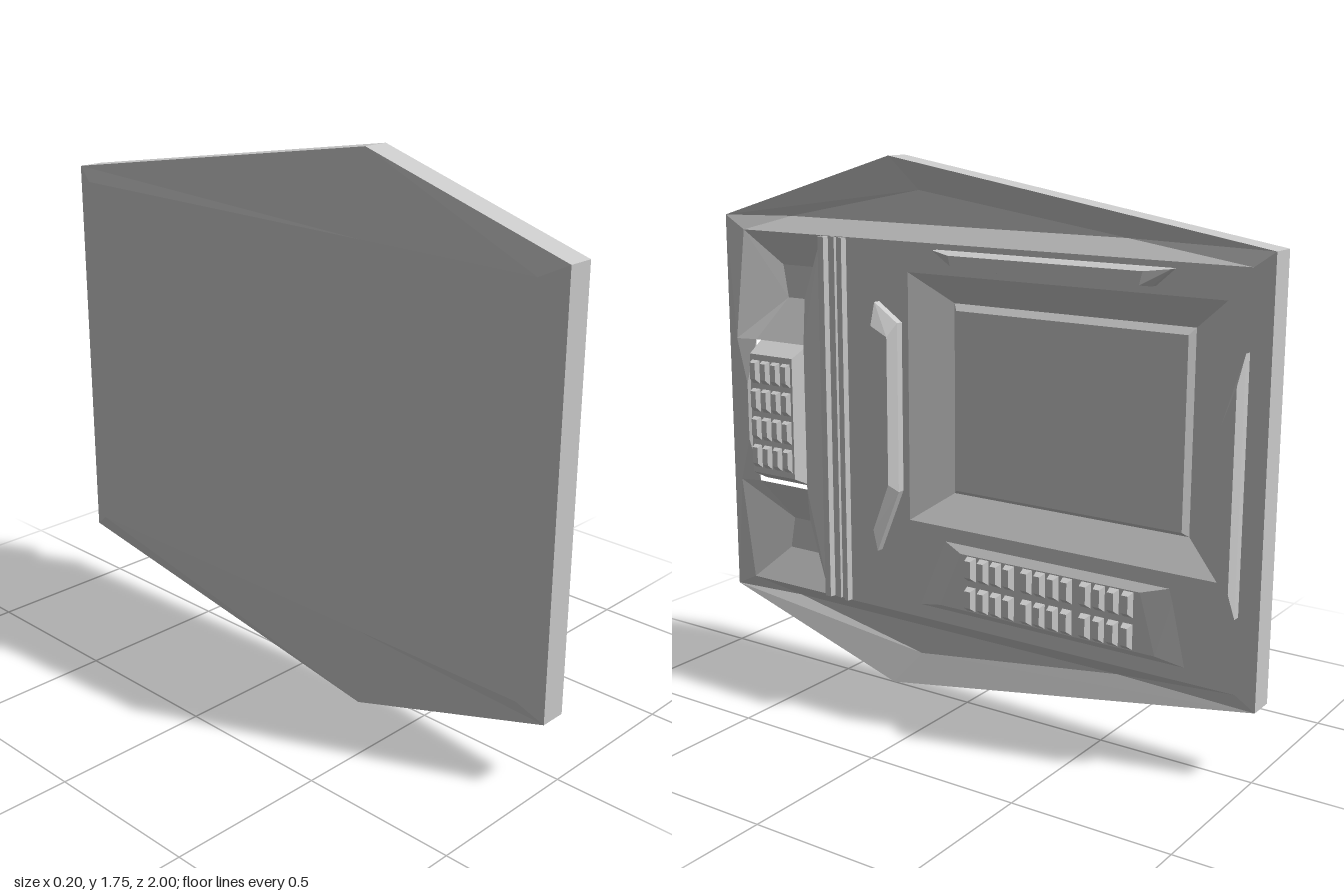
import * as THREE from 'three';

const material = new THREE.MeshStandardMaterial({ color: 0xcccccc, flatShading: true });
const H = 1.745; // overall height, the panel is mirrored about H / 2
const flip = ([z, y, x]) => [z, H - y, x];

// Fan-triangulates polygons of [z, y, x] points, turning each triangle outwards.
function facets(name, polys, outward) {
  const pos = [];
  const a = new THREE.Vector3(), b = new THREE.Vector3(), c = new THREE.Vector3();
  for (const poly of polys) {
    for (let i = 1; i < poly.length - 1; i++) {
      const tri = [poly[0], poly[i], poly[i + 1]].map(([z, y, x]) => [x, y, z]);
      a.fromArray(tri[0]); b.fromArray(tri[1]); c.fromArray(tri[2]);
      const mid = a.clone().add(b).add(c).divideScalar(3);
      const n = b.clone().sub(a).cross(c.clone().sub(a));
      if (n.dot(outward(mid)) < 0) tri.reverse();
      pos.push(...tri.flat());
    }
  }
  const geo = new THREE.BufferGeometry();
  geo.setAttribute('position', new THREE.Float32BufferAttribute(pos, 3));
  geo.computeVertexNormals();
  const mesh = new THREE.Mesh(geo, material);
  mesh.name = name;
  return mesh;
}

// Convex solid joining a base outline at x0 to a top outline at x1.
function loft(name, base, top, x0, x1, caps = [true, true]) {
  const r0 = base.map(([z, y]) => [z, y, x0]);
  const r1 = top.map(([z, y]) => [z, y, x1]);
  const n = r0.length, centre = new THREE.Vector3();
  for (const [z, y, x] of [...r0, ...r1]) centre.add(new THREE.Vector3(x, y, z));
  centre.divideScalar(2 * n);
  const polys = r0.map((p, i) => [p, r0[(i + 1) % n], r1[(i + 1) % n], r1[i]]);
  if (caps[0]) polys.push(r0);
  if (caps[1]) polys.push(r1);
  return facets(name, polys, (m) => m.clone().sub(centre));
}

const rect = (z0, z1, y0, y1) => [[z0, y0], [z1, y0], [z1, y1], [z0, y1]];
const towardsFace = () => new THREE.Vector3(1, 0, 0);

// Small tapered push button centred at z, y
function button(z, y, x0, x1) {
  return loft('button', rect(z - 0.017, z + 0.017, y - 0.041, y + 0.041),
    rect(z - 0.011, z + 0.011, y - 0.022, y + 0.033), x0, x1);
}

export function createModel() {
  const group = new THREE.Group();
  group.name = 'controlPanel';

  // Six-sided slab with a shallow raised back
  const hex = [[1, 1.53], [0.3, H], [-1, 1.53], [-1, 0.215], [0.3, 0], [1, 0.215]];
  const back = [[0.91, 1.485], [0.3, 1.485], [-0.94, 1.485], [-0.94, 0.26], [0.3, 0.26], [0.91, 0.26]];
  group.add(loft('slabSides', hex, hex, -0.085, 0, [false, false]));
  group.add(loft('slabBack', back, hex, -0.1, -0.085, [true, false]));

  // Top half of the face: rim, sunken troughs and plate corners
  const P1 = [1, 1.53, 0], P2 = [0.3, H, 0], P3 = [-1, 1.53, 0];
  const G = [0.22, 1.64, -0.05], A = [0.74, 1.535, -0.04], B = [-0.53, 1.535, -0.04];
  const C = [0.91, 1.485, 0.01], D = [-0.94, 1.485, 0.01], R = [0.57, 1.485, 0.01];
  const trough = [[P1, P2, G], [P2, P3, G], [P1, G, A], [G, B, A], [G, P3, B],
    [A, B, D, R, C], [P1, A, C], [P3, D, B]];

  // Raised lip and the faceted hollow around the keypad
  const L1 = [0.92, 1.12, 0.05], L2 = [0.87, 0.97, 0.06];
  const F1 = [0.79, 1.37, -0.05], F2 = [0.65, 1.37, -0.05];
  const N1 = [0.77, 1.26, -0.05], N2 = [0.7, 1.26, -0.05];
  const K1 = [0.85, 1.12, 0.03], K2 = [0.64, 1.12, 0.03];
  const hollow = [[C, R, F2, F1], [F1, F2, N2, N1], [N1, N2, K2, K1], [C, F1, N1, L1],
    [L1, N1, K1], [K1, L1, L2], [R, F2, N2], [R, N2, K2], [P1, C, L1]];

  const mirrored = (polys) => [...polys, ...polys.map((p) => p.map(flip))];
  group.add(facets('faceTroughs', mirrored(trough), towardsFace));
  group.add(facets('keypadHollow', [...mirrored(hollow),
    [L1, L2, flip(L2), flip(L1)], [L1, flip(L1), flip(P1), P1],
    [R, K2, flip(K2), flip(R)], [L2, K1, flip(K1), flip(L2)]], towardsFace));

  // Flat plate framing the screen, its sloped recess and the right border
  const at = (pts, x) => pts.map(([z, y]) => [z, y, x]);
  const plate = at(rect(0.57, -0.94, 0.26, 1.485), 0.01);
  const opening = at(rect(0.22, -0.87, 0.585, 1.39), 0.01);
  const floor = at(rect(0.09, -0.745, 0.68, 1.295), -0.06);
  const ring = (o, i) => o.map((p, k) => [p, o[(k + 1) % 4], i[(k + 1) % 4], i[k]]);
  group.add(facets('facePlate', [...ring(plate, opening), [D, P3, flip(P3), flip(D)]], towardsFace));
  group.add(facets('screenRecess', ring(opening, floor), towardsFace));
  group.add(loft('screen', rect(0.09, -0.745, 0.68, 1.295), rect(0.07, -0.73, 0.695, 1.275), -0.06, -0.04));

  // Upright ridges between keypad and screen
  for (const [z0, z1, x] of [[0.575, 0.54, 0.03], [0.53, 0.505, 0.018], [0.49, 0.465, 0.03]]) {
    group.add(loft('ridge', rect(z0, z1, 0.262, 1.483), rect(z0 - 0.006, z1 + 0.006, 0.262, 1.483), 0, x));
  }

  // Grab bars around the screen: upright sides, then a tapered cap
  const bars = {
    topBar: [[[0.107, 1.467], [-0.71, 1.467], [-0.65, 1.414], [0.027, 1.414]],
      [[0.02, 1.46], [-0.64, 1.46], [-0.63, 1.42], [0.01, 1.42]]],
    leftBar: [[[0.335, 1.29], [0.245, 1.23], [0.245, 0.68], [0.335, 0.465]],
      [[0.32, 1.22], [0.257, 1.19], [0.257, 0.71], [0.32, 0.55]]],
    rightBar: [[[-0.888, 1.09], [-0.94, 1.255], [-0.94, 0.495], [-0.888, 0.69]],
      [[-0.895, 1.06], [-0.935, 1.17], [-0.935, 0.58], [-0.895, 0.72]]],
  };
  for (const [name, [base, top]] of Object.entries(bars)) {
    const bar = new THREE.Group();
    bar.name = name;
    bar.add(loft('barFoot', base, base, 0, 0.035, [true, false]), loft('barCap', base, top, 0.035, 0.075));
    group.add(bar);
  }

  // Keypad block with a 4 x 4 set of buttons
  const keypad = new THREE.Group();
  keypad.name = 'keypad';
  keypad.add(loft('keypadBlock', rect(0.85, 0.64, 0.63, 1.12), rect(0.835, 0.65, 0.67, 1.08), 0, 0.08));
  for (let r = 0; r < 4; r++) {
    for (let c = 0; c < 4; c++) keypad.add(button(0.81 - c * 0.045, 1.02 - r * 0.097, 0.078, 0.098));
  }
  group.add(keypad);

  // Lower console with three banks of 4 x 2 buttons
  const lower = new THREE.Group();
  lower.name = 'lowerConsole';
  lower.add(loft('consoleBase', [[0.096, 0.543], [-0.743, 0.543], [-0.8, 0.3], [0.2, 0.3]],
    [[0.005, 0.514], [-0.636, 0.514], [-0.69, 0.327], [0.086, 0.327]], 0.005, 0.03));
  for (let bank = 0; bank < 3; bank++) {
    for (let c = 0; c < 4; c++) {
      for (const y of [0.47, 0.37]) lower.add(button(-0.037 - bank * 0.209 - c * 0.048, y, 0.028, 0.055));
    }
  }
  group.add(lower);
  return group;
}
